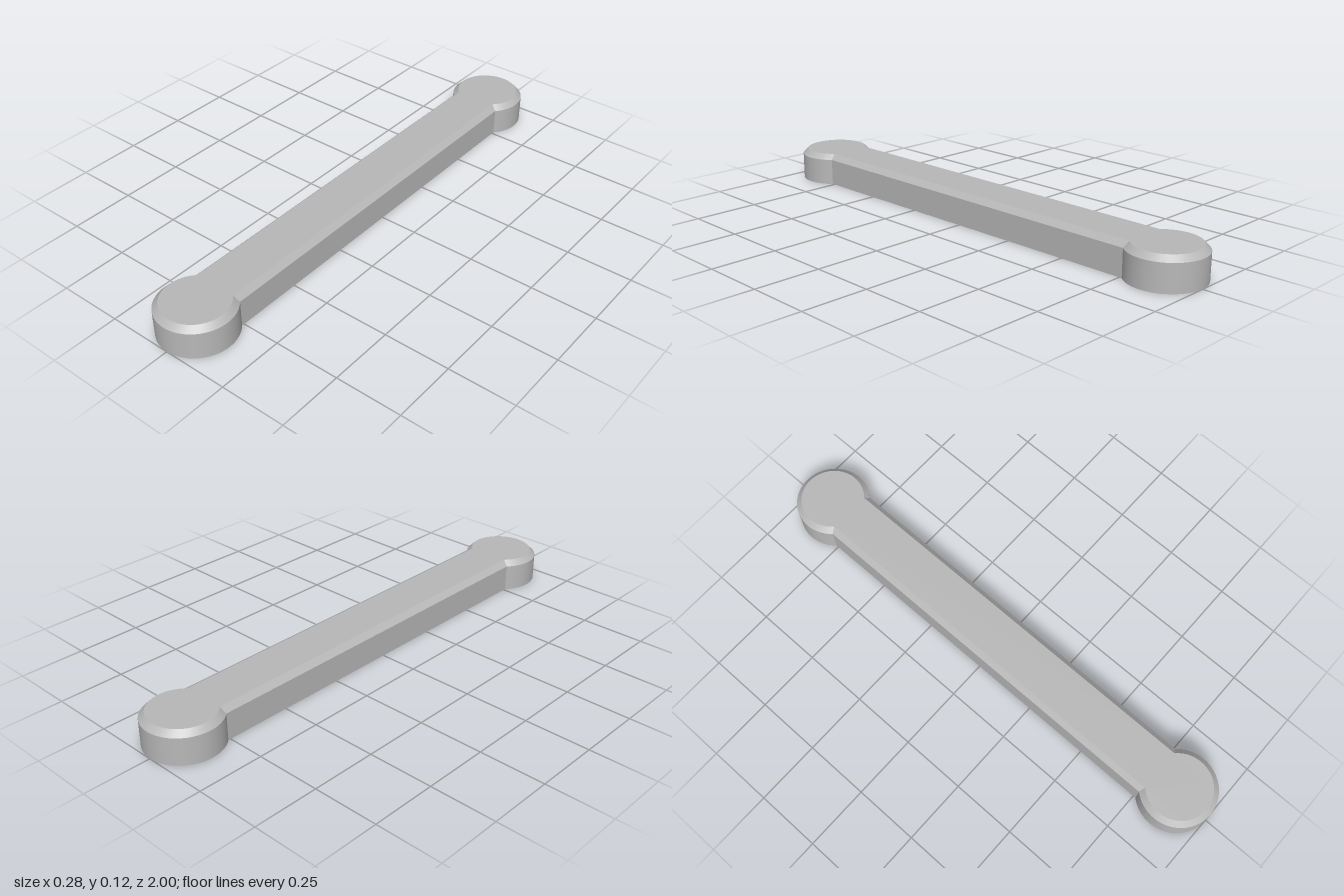
import * as THREE from 'three';
import { toCreasedNormals } from 'three/addons/utils/BufferGeometryUtils.js';

const HEIGHT = 0.125, BEVEL = 0.021;
const END_RADIUS = 0.1425, END_CENTRE = 0.8575, BAR_HALF_WIDTH = 0.104;
const ARC_STEPS = 48;

// Anticlockwise outline of a bar with a round at each end, shrunk by inset
function outline(inset) {
  const r = END_RADIUS - inset, w = BAR_HALF_WIDTH - inset;
  const start = -Math.acos(w / r), sweep = Math.PI - 2 * start;
  const end = [];
  for (let i = 0; i <= ARC_STEPS; i++) {
    const a = start + sweep * i / ARC_STEPS;
    end.push(new THREE.Vector2(r * Math.cos(a), END_CENTRE + r * Math.sin(a)));
  }
  return [...end, ...end.map(p => p.clone().negate())];
}

// Stack of cross-sections with closed ends, built along z then stood upright
function loft(sections) {
  const positions = [], index = [];
  const n = sections[0].points.length;
  for (const { points, h } of sections) {
    for (const p of points) positions.push(p.x, p.y, h);
  }
  for (let s = 0; s < sections.length - 1; s++) {
    for (let i = 0; i < n; i++) {
      const a = s * n + i, b = s * n + (i + 1) % n;
      index.push(a, b, b + n, a, b + n, a + n);
    }
  }
  const top = (sections.length - 1) * n;
  for (const [a, b, c] of THREE.ShapeUtils.triangulateShape(sections[0].points, [])) {
    index.push(a, c, b);
  }
  for (const [a, b, c] of THREE.ShapeUtils.triangulateShape(sections.at(-1).points, [])) {
    index.push(top + a, top + b, top + c);
  }
  const geometry = new THREE.BufferGeometry();
  geometry.setAttribute('position', new THREE.Float32BufferAttribute(positions, 3));
  geometry.setIndex(index);
  geometry.rotateX(-Math.PI / 2);
  return toCreasedNormals(geometry, 0.4);
}

export function createModel() {
  const group = new THREE.Group();
  group.name = 'roundEndedBar';
  const grey = new THREE.MeshStandardMaterial({ color: 0xb8b8b8 });
  grey.name = 'grey';

  // Straight walls, then a chamfer up to the flat top
  const bar = new THREE.Mesh(loft([
    { points: outline(0), h: 0 },
    { points: outline(0), h: HEIGHT - BEVEL },
    { points: outline(BEVEL), h: HEIGHT },
  ]), grey);
  bar.name = 'bar';
  group.add(bar);
  return group;
}
